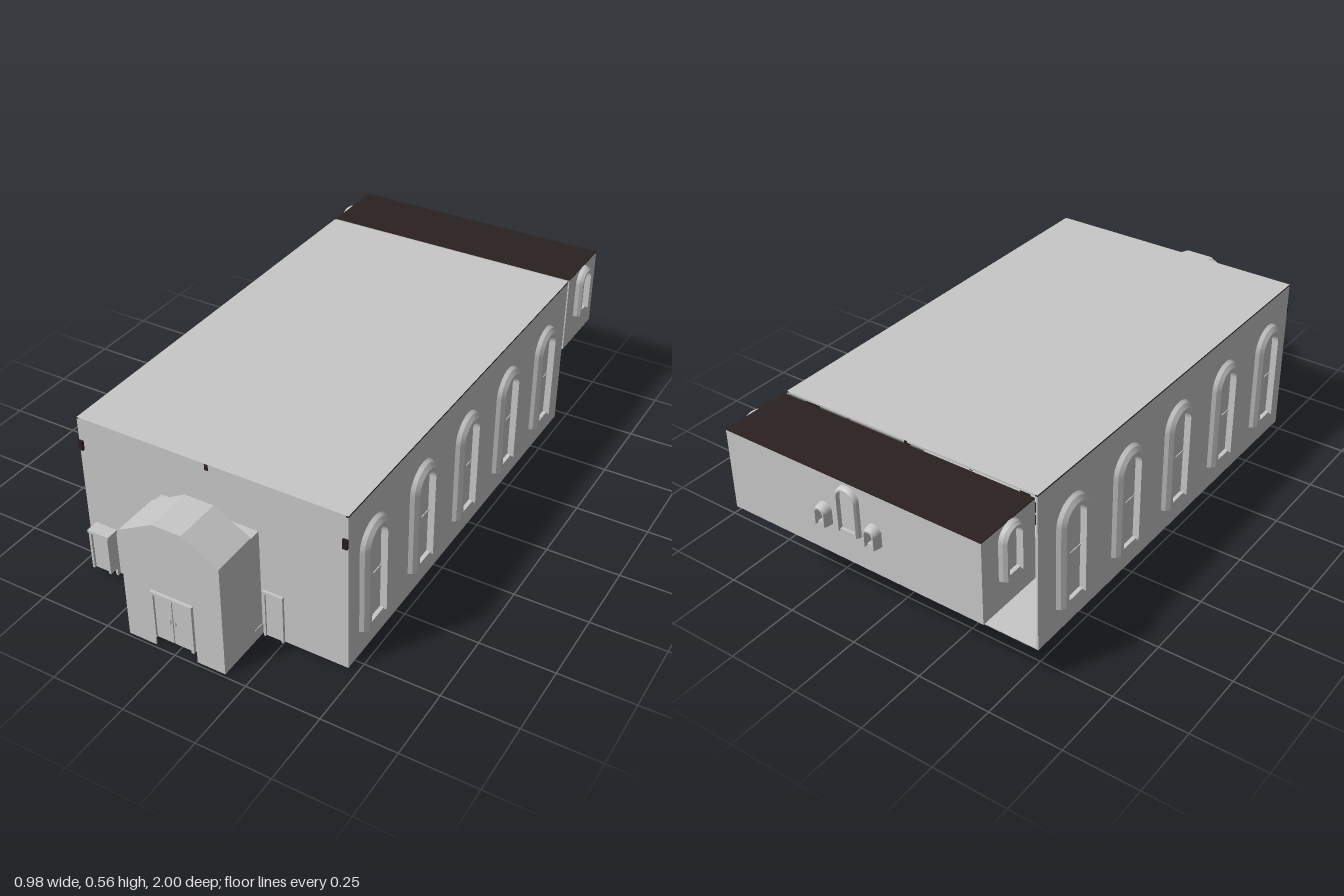
import * as THREE from 'three';

const stone = new THREE.MeshStandardMaterial({ color: 0xc8c8c8, side: THREE.DoubleSide });
stone.name = 'stoneGrey';
const timber = new THREE.MeshStandardMaterial({ color: 0x2a2020 });
timber.name = 'darkTimber';

// Box given by its minimum and maximum on each axis
function block(parent, name, x0, x1, y0, y1, z0, z1, mat = stone) {
  const m = new THREE.Mesh(new THREE.BoxGeometry(x1 - x0, y1 - y0, z1 - z0), mat);
  m.position.set((x0 + x1) / 2, (y0 + y1) / 2, (z0 + z1) / 2);
  m.name = name;
  parent.add(m);
  return m;
}

// Sweeps an [inset, projection] profile around a round-headed opening
function archGeometry(halfW, bottom, top, profile) {
  const N = 16, pos = [], idx = [];
  const path = (s) => {
    const r = halfW - s, cy = top - halfW, pts = [[r, bottom]];
    for (let i = 0; i <= N; i++) {
      const a = (Math.PI * i) / N;
      pts.push([r * Math.cos(a), cy + r * Math.sin(a)]);
    }
    pts.push([-r, bottom]);
    return pts;
  };
  for (let k = 0; k + 1 < profile.length; k++) {
    const base = pos.length / 3;
    const A = path(profile[k][0]), B = path(profile[k + 1][0]);
    A.forEach((p, i) => pos.push(...p, profile[k][1], ...B[i], profile[k + 1][1]));
    for (let i = 0; i + 1 < A.length; i++) {
      const a = base + i * 2;
      idx.push(a, a + 2, a + 1, a + 1, a + 2, a + 3);
    }
  }
  // Flat feet of the frame
  for (const side of [1, -1]) {
    const base = pos.length / 3;
    profile.forEach(([s, z]) => pos.push(side * (halfW - s), bottom, z));
    for (let k = 1; k + 1 < profile.length; k++) {
      idx.push(base, base + (side > 0 ? k : k + 1), base + (side > 0 ? k + 1 : k));
    }
  }
  const g = new THREE.BufferGeometry();
  g.setAttribute('position', new THREE.Float32BufferAttribute(pos, 3));
  g.setIndex(idx);
  g.computeVertexNormals();
  return g;
}

function archWindow(name, halfW, bottom, top, out, rim) {
  const g = new THREE.Group();
  g.name = name;
  const profile = [[0, 0], [rim * 0.2, out * 0.55], [rim * 0.6, out], [rim, out], [rim, 0]];
  const frame = new THREE.Mesh(archGeometry(halfW, bottom, top, profile), stone);
  frame.name = 'windowFrame';
  g.add(frame);
  const w = halfW - rim;
  block(g, 'windowSill', -w, w, bottom, bottom + 0.006, 0, out * 0.6);
  return g;
}

export function createModel() {
  const model = new THREE.Group();
  model.name = 'hall';
  const W = 0.468, H = 0.563, T = 0.006, F = 0.787, B = -0.715;

  // Main hall, open at the back
  for (const s of [-1, 1]) {
    block(model, 'sideWall', s > 0 ? W - T : -W, s > 0 ? W : -W + T, 0, H, B, F);
  }
  block(model, 'frontWall', -W + T, W - T, 0, H, F - T, F);
  block(model, 'roof', -W, W, H - T, H + 0.001, B, F);
  block(model, 'floor', -W + T, W - T, 0, 0.004, -0.39, F - T);
  block(model, 'rearFloor', -W + T, W - T, 0, 0.004, B, -0.43);
  block(model, 'floorGroove', -W + T, W - T, 0.004, 0.01, -0.43, -0.39);

  // Roof timbers
  const C = H - T;
  block(model, 'ridgeBeam', -0.006, 0.006, C - 0.014, H, B, F + 0.002, timber);
  for (const s of [-1, 1]) {
    const x = s * (W - 0.0085);
    block(model, 'wallPlate', x - 0.008, x + 0.008, 0.45, 0.483, B + 0.01, F + 0.008, timber);
    block(model, 'eavesTrim', s * 0.465 - 0.004, s * 0.465 + 0.004, H - 0.003, H + 0.0005, B - 0.002, F + 0.002, timber);
    block(model, 'purlin', s * 0.23 - 0.005, s * 0.23 + 0.005, C - 0.012, C, B + 0.01, F - T, timber);
  }
  for (let i = 0; i < 6; i++) {
    const z = -0.69 + i * 0.29;
    block(model, 'crossBeam', -W + T, W - T, C - 0.016, C, z - 0.006, z + 0.006, timber);
    for (const s of [-1, 1]) {
      const brace = block(model, 'beamBrace', -0.05, 0.05, -0.006, 0.006, -0.006, 0.006, timber);
      brace.position.set(s * 0.425, 0.515, z);
      brace.rotation.z = -s * Math.PI / 4;
    }
  }

  // Side windows of the hall and of the rear block
  for (const s of [-1, 1]) {
    for (const z of [0.645, 0.348, 0.05, -0.246, -0.545]) {
      const win = archWindow('sideWindow', 0.08, 0.092, 0.468, 0.023, 0.036);
      block(win, 'windowBar', -0.045, 0.045, 0.255, 0.261, -0.009, 0.003);
      win.position.set(s * W, 0, z);
      win.rotation.y = (s * Math.PI) / 2;
      model.add(win);
    }
    const small = archWindow('rearSideWindow', 0.051, 0.385, 0.562, 0.023, 0.02);
    small.position.set(s * W, 0, -0.846);
    small.rotation.y = (s * Math.PI) / 2;
    model.add(small);
  }

  // Raised rear block, open below
  const rear = new THREE.Group();
  rear.name = 'rearBlock';
  model.add(rear);
  const y0 = 0.283, zb = -0.97, zf = -0.727;
  for (const s of [-1, 1]) {
    block(rear, 'rearSide', s > 0 ? W - T : -W, s > 0 ? W : -W + T, y0, H - 0.003, zb, zf);
  }
  block(rear, 'rearWall', -W + T, W - T, y0, H - 0.003, zb, zb + T);
  block(rear, 'rearRoof', -W, W, H - 0.003, H, zb, zf, timber);
  const panel = new THREE.Shape();
  panel.moveTo(-W + T, y0).lineTo(W - T, y0).lineTo(W - T, H - 0.003).lineTo(-W + T, H - 0.003).closePath();
  const oval = new THREE.Path();
  oval.absellipse(0, 0.45, 0.155, 0.075, 0, Math.PI * 2, true);
  panel.holes.push(oval);
  const inner = new THREE.Mesh(new THREE.ExtrudeGeometry(panel, { depth: T, bevelEnabled: false, curveSegments: 24 }), stone);
  inner.position.z = zf - T;
  inner.name = 'innerWall';
  rear.add(inner);
  const rim = new THREE.Shape();
  rim.absellipse(0, 0.45, 0.165, 0.082, 0, Math.PI * 2, false);
  rim.holes.push(oval);
  const ring = new THREE.Mesh(new THREE.ExtrudeGeometry(rim, { depth: 0.011, bevelEnabled: false, curveSegments: 24 }), stone);
  ring.position.z = zf;
  ring.name = 'ovalRim';
  rear.add(ring);

  // Triple window on the back
  for (const [x, hw, top, out] of [[0, 0.042, 0.552, 0.016], [-0.092, 0.026, 0.46, 0.029], [0.092, 0.026, 0.46, 0.029]]) {
    const w = archWindow('backWindow', hw, 0.392, top, out, 0.012);
    w.position.set(x, 0, zb);
    w.rotation.y = Math.PI;
    rear.add(w);
  }

  // Entrance porch with a canted roof and a notch below the doors
  const porch = new THREE.Group();
  porch.name = 'porch';
  model.add(porch);
  const P = 0.173;
  const outline = [[-P, 0], [-0.075, 0], [-0.075, 0.04], [0.075, 0.04], [0.075, 0], [P, 0],
    [P, 0.397], [0.05, 0.465], [-0.05, 0.465], [-P, 0.397]].map((p) => new THREE.Vector2(...p));
  const face = new THREE.Mesh(new THREE.ExtrudeGeometry(new THREE.Shape(outline), { depth: T, bevelEnabled: false }), stone);
  face.position.z = 0.99 - T;
  face.name = 'porchFront';
  porch.add(face);
  const upper = [[-P, 0.04], [P, 0.04], [P, 0.397], [0.05, 0.465], [-0.05, 0.465], [-P, 0.397]];
  const body = new THREE.Mesh(new THREE.ExtrudeGeometry(
    new THREE.Shape(upper.map((p) => new THREE.Vector2(...p))), { depth: 0.99 - T - 0.83, bevelEnabled: false }), stone);
  body.position.z = 0.83;
  body.name = 'porchBody';
  porch.add(body);
  block(porch, 'porchNeck', -P + 0.002, P - 0.002, 0.04, 0.39, F, 0.83);
  for (const s of [-1, 1]) {
    block(porch, 'porchBase', s > 0 ? P - T : -P, s > 0 ? P : -P + T, 0, 0.04, F, 0.99 - T);
    // Double door with its frame
    block(porch, 'doorLeaf', s > 0 ? 0.002 : -0.062, s > 0 ? 0.062 : -0.002, 0.042, 0.208, 0.99, 0.994);
    block(porch, 'doorJamb', s * 0.068 - 0.005, s * 0.068 + 0.005, 0.04, 0.218, 0.99, 1);
    block(porch, 'doorHandle', s * 0.009 - 0.002, s * 0.009 + 0.002, 0.115, 0.135, 0.994, 0.998);
  }
  block(porch, 'doorLintel', -0.073, 0.073, 0.208, 0.218, 0.99, 1);

  // Small side door in the front wall
  block(model, 'sideDoor', 0.188, 0.242, 0, 0.167, F, F + 0.003);
  for (const x of [0.184, 0.246]) block(model, 'sideDoorJamb', x - 0.004, x + 0.004, 0, 0.175, F, F + 0.009);
  block(model, 'sideDoorLintel', 0.18, 0.25, 0.167, 0.175, F, F + 0.009);

  // Projecting side entrance, raised off the ground
  block(model, 'sideEntrance', -0.437, -0.365, 0.028, 0.175, F, 0.824);
  for (const x of [-0.433, -0.369]) {
    block(model, 'entranceJamb', x - 0.004, x + 0.004, 0.028, 0.175, 0.824, 0.832);
    block(model, 'entranceLeg', x - 0.004, x + 0.004, 0, 0.028, F, 0.8);
  }
  block(model, 'entranceLintel', -0.441, -0.361, 0.167, 0.176, F, 0.833);

  return model;
}
